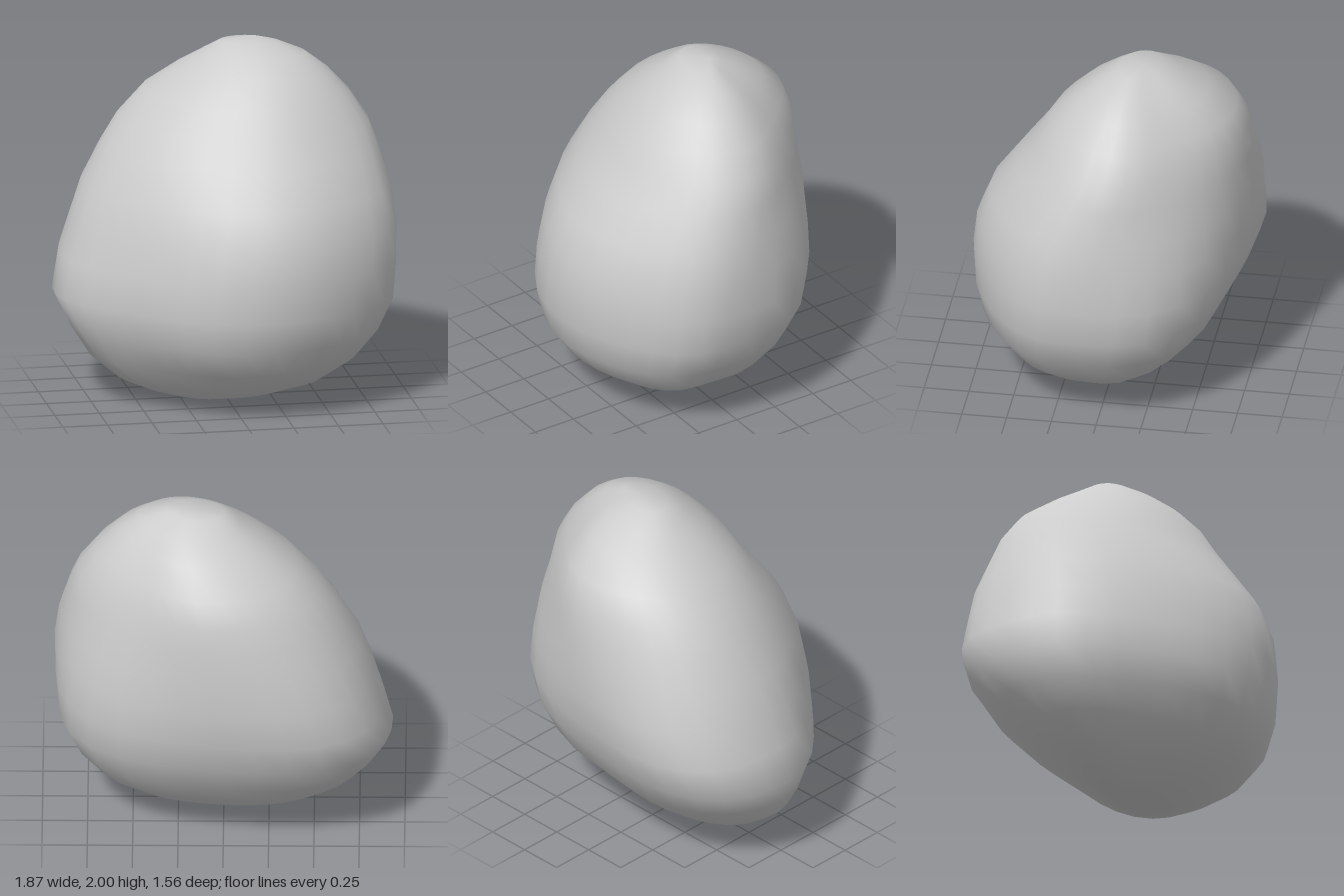
import * as THREE from 'three';
import { mergeVertices } from 'three/addons/utils/BufferGeometryUtils.js';

// Horizontal cross-sections: height, min x, max x, front z, back z
const LEVELS = [
  [0, -0.18, -0.18, 0.03, 0.03],
  [0.015, -0.27, 0.05, 0.13, -0.07],
  [0.05, -0.4, 0.29, 0.26, -0.17],
  [0.13, -0.59, 0.51, 0.44, -0.29],
  [0.26, -0.75, 0.69, 0.61, -0.45],
  [0.42, -0.85, 0.82, 0.73, -0.6],
  [0.6, -0.935, 0.91, 0.77, -0.695],
  [0.8, -0.89, 0.93, 0.78, -0.765],
  [1.0, -0.83, 0.935, 0.755, -0.775],
  [1.2, -0.76, 0.91, 0.675, -0.78],
  [1.4, -0.65, 0.86, 0.53, -0.755],
  [1.55, -0.55, 0.81, 0.42, -0.735],
  [1.7, -0.41, 0.71, 0.325, -0.675],
  [1.83, -0.23, 0.59, 0.2, -0.53],
  [1.92, -0.09, 0.47, 0.08, -0.39],
  [1.98, 0, 0.32, -0.04, -0.27],
  [2, 0.2, 0.2, -0.18, -0.18],
];

// Every section is skewed towards its front +x and back -x corners
const SKEW = 0.2;

// Bulge (+) or cut (-) of each diagonal corner by height:
// height, front +x, front -x, back -x, back +x
const CORNERS = [
  [0.2, -0.04, -0.14, -0.01, 0.2],
  [0.7, -0.06, -0.09, 0.08, 0.14],
  [1.15, -0.07, -0.05, 0.03, 0.04],
  [1.5, -0.05, 0.02, -0.02, -0.08],
  [1.8, -0.04, 0.04, -0.03, -0.14],
  [2, -0.04, 0.05, -0.03, -0.12],
];

function cornerBulge(y, quadrant) {
  let i = 0;
  while (i < CORNERS.length - 2 && y > CORNERS[i + 1][0]) i++;
  const a = CORNERS[i], b = CORNERS[i + 1];
  const t = THREE.MathUtils.clamp((y - a[0]) / (b[0] - a[0]), 0, 1);
  return THREE.MathUtils.lerp(a[quadrant + 1], b[quadrant + 1], t);
}

// Loft the sections into one closed, smooth surface
function boulderGeometry(segments) {
  const positions = [], index = [];
  LEVELS.forEach(([y, x0, x1, zf, zb], i) => {
    for (let j = 0; j < segments; j++) {
      const a = (j / segments) * Math.PI * 2;
      const quadrant = Math.floor((j * 4) / segments);
      const r = 1 + cornerBulge(y, quadrant) * Math.sin(2 * a) ** 2;
      positions.push(
        (x0 + x1) / 2 + ((x1 - x0) / 2) * r * Math.cos(a),
        y,
        (zf + zb) / 2 + ((zf - zb) / 2) * r * Math.sin(a + SKEW),
      );
      if (i === LEVELS.length - 1) continue;
      const k = (j + 1) % segments;
      const p = i * segments + j, q = i * segments + k;
      // Skip the collapsed triangles at the two poles
      if (i < LEVELS.length - 2) index.push(p, p + segments, q + segments);
      if (i > 0) index.push(p, q + segments, q);
    }
  });
  let geometry = new THREE.BufferGeometry();
  geometry.setAttribute('position', new THREE.Float32BufferAttribute(positions, 3));
  geometry.setIndex(index);
  geometry = mergeVertices(geometry, 1e-5);
  geometry.computeVertexNormals();
  return geometry;
}

export function createModel() {
  const group = new THREE.Group();
  group.name = 'rock';
  const boulder = new THREE.Mesh(
    boulderGeometry(32),
    new THREE.MeshStandardMaterial({ color: 0xcccccc }),
  );
  boulder.name = 'boulder';
  group.add(boulder);
  return group;
}
